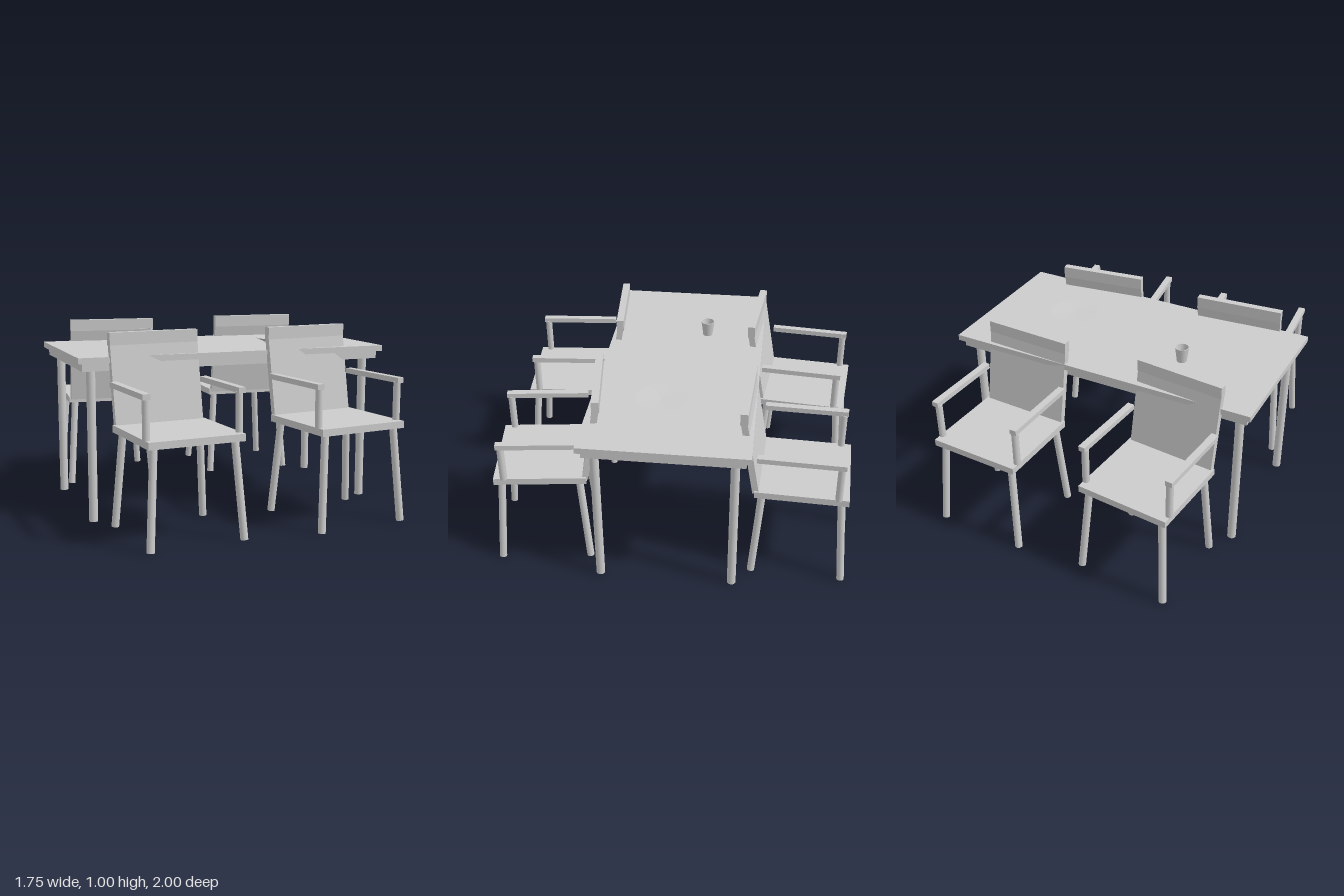
import * as THREE from 'three';

const grey = new THREE.MeshStandardMaterial({ color: 0xcccccc });
grey.name = 'light grey';

function add(parent, name, geometry, x = 0, y = 0, z = 0) {
  const mesh = new THREE.Mesh(geometry, grey);
  mesh.name = name;
  mesh.position.set(x, y, z);
  parent.add(mesh);
  return mesh;
}

const box = (w, h, d) => new THREE.BoxGeometry(w, h, d);

// Round bar between two points
function rod(parent, name, from, to, radius) {
  const a = new THREE.Vector3(...from), b = new THREE.Vector3(...to);
  const dir = b.clone().sub(a);
  const mesh = add(parent, name, new THREE.CylinderGeometry(radius, radius, dir.length(), 20));
  mesh.position.copy(a).add(b).multiplyScalar(0.5);
  mesh.quaternion.setFromUnitVectors(new THREE.Vector3(0, 1, 0), dir.normalize());
}

// Lathe with hard edges: each profile segment gets its own surface
function turned(parent, name, points, x, y, z) {
  const group = new THREE.Group();
  group.name = name;
  group.position.set(x, y, z);
  for (let i = 1; i < points.length; i++) {
    const pair = [points[i - 1], points[i]].map(p => new THREE.Vector2(...p));
    add(group, name + 'Surface', new THREE.LatheGeometry(pair, 40));
  }
  parent.add(group);
}

// Armchair whose seat opens towards its own +z
function makeChair() {
  const chair = new THREE.Group();
  add(chair, 'seat', box(0.51, 0.037, 0.49), 0, 0.516, 0);

  // Leaning back panel with a thicker upright top rail
  const bottom = [0.52, -0.238], top = [0.945, -0.312];
  const rise = top[0] - bottom[0], run = top[1] - bottom[1];
  const panel = add(chair, 'backPanel', box(0.488, Math.hypot(rise, run), 0.034),
    0, (bottom[0] + top[0]) / 2, (bottom[1] + top[1]) / 2);
  panel.rotation.x = Math.atan2(run, rise);
  add(chair, 'topRail', box(0.49, 0.065, 0.04), 0, 0.9675, -0.312);

  for (const s of [-1, 1]) {
    add(chair, 'armrest', box(0.038, 0.028, 0.45), s * 0.25, 0.744, -0.012);
    rod(chair, 'armPost', [s * 0.245, 0.53, 0.19], [s * 0.245, 0.735, 0.19], 0.019);
    for (const t of [-1, 1])
      rod(chair, 'chairLeg', [s * 0.25, 0.001, t * 0.243], [s * 0.215, 0.5, t * 0.205], 0.02);
  }
  return chair;
}

export function createModel() {
  const model = new THREE.Group();
  model.name = 'diningSet';

  // Table
  const table = new THREE.Group();
  table.name = 'table';
  table.position.set(-0.003, 0, -0.007);
  add(table, 'tableTop', box(1.75, 0.032, 0.875), 0, 0.86, 0);
  add(table, 'apron', box(1.70, 0.043, 0.825), 0, 0.8235, 0);
  for (const x of [-0.793, 0.793])
    for (const z of [-0.356, 0.356])
      rod(table, 'tableLeg', [x, 0, z], [x, 0.805, z], 0.0235);
  model.add(table);

  // Four chairs, each turned slightly: x, z, degrees
  const places = [
    ['frontRightChair', -0.447, 0.709, 4.7],
    ['frontLeftChair', 0.443, 0.703, 7.5],
    ['backRightChair', -0.447, -0.714, 174.4],
    ['backLeftChair', 0.44, -0.715, 177.4],
  ];
  for (const [name, x, z, degrees] of places) {
    const chair = makeChair();
    chair.name = name;
    chair.position.set(x, 0, z);
    chair.rotation.y = THREE.MathUtils.degToRad(degrees);
    model.add(chair);
  }

  // Shallow plate and hollow cup
  turned(model, 'plate', [[0, 0], [0.08, 0], [0.138, 0.026], [0, 0.02]], 0.405, 0.877, 0.052);
  turned(model, 'cup', [[0, 0], [0.027, 0], [0.038, 0.084], [0.034, 0.084], [0.022, 0.012], [0, 0.01]],
    -0.355, 0.877, -0.12);
  return model;
}
